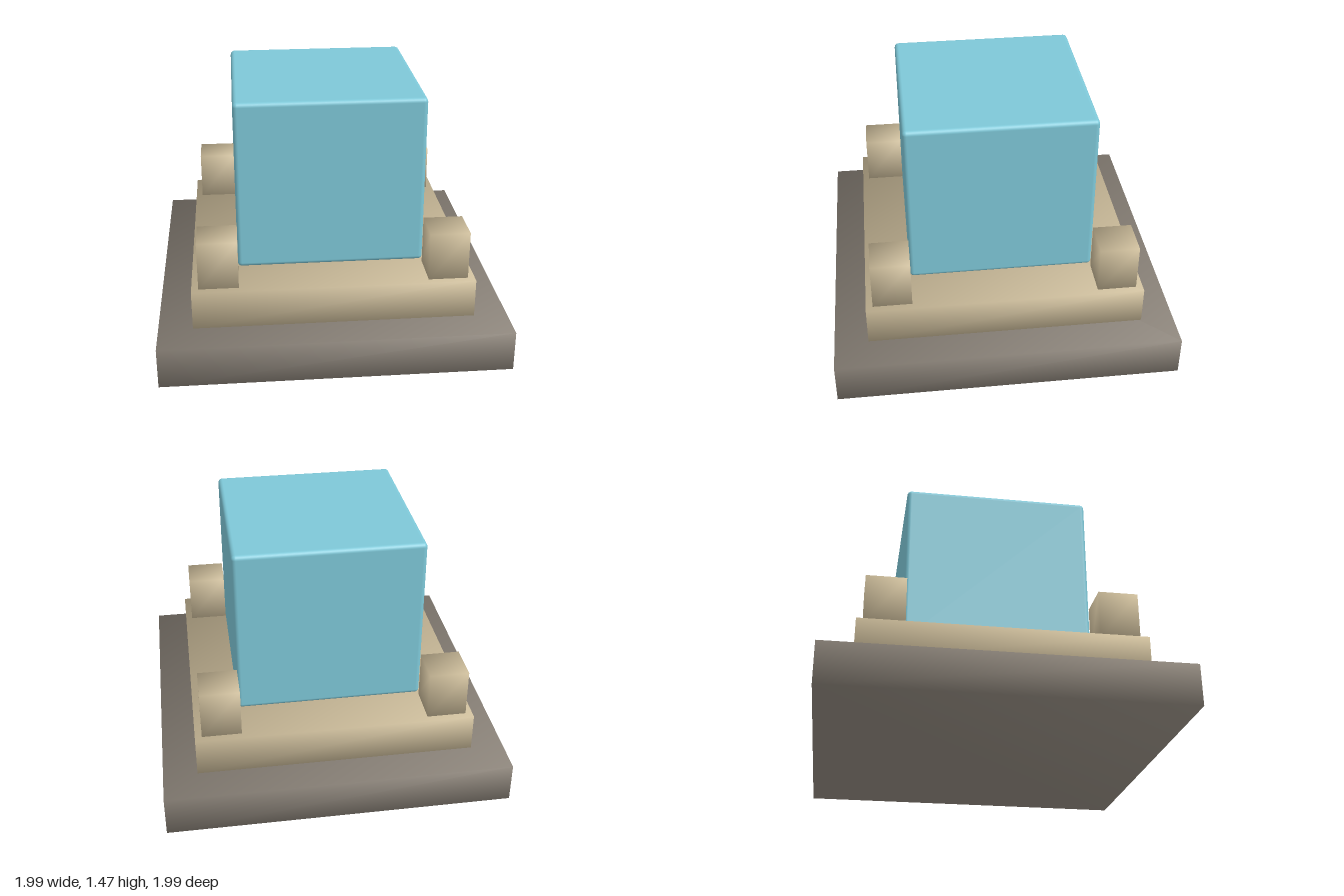
import * as THREE from 'three';
import { mergeVertices } from 'three/addons/utils/BufferGeometryUtils.js';
import { RoundedBoxGeometry } from 'three/addons/geometries/RoundedBoxGeometry.js';

// Box with eight shared corners, so shading flows softly around its edges
function softBox(w, h, d) {
  let geo = new THREE.BoxGeometry(w, h, d);
  geo.deleteAttribute('normal');
  geo.deleteAttribute('uv');
  geo = mergeVertices(geo);
  const pos = geo.attributes.position;
  const normals = [];
  for (let i = 0; i < pos.count; i++) {
    const n = new THREE.Vector3(
      Math.sign(pos.getX(i)), Math.sign(pos.getY(i)), Math.sign(pos.getZ(i))
    ).normalize();
    normals.push(n.x, n.y, n.z);
  }
  geo.setAttribute('normal', new THREE.Float32BufferAttribute(normals, 3));
  return geo;
}

export function createModel() {
  const model = new THREE.Group();
  model.name = 'cubeOnPedestal';

  const material = (name, color) => {
    const m = new THREE.MeshStandardMaterial({ color });
    m.name = name;
    return m;
  };
  const darkStone = material('dark stone', 0x8a8278);
  const sandStone = material('sand stone', 0xcdbd9b);
  const blue = material('light blue', 0x7ec8d8);

  const add = (name, geo, mat, x, y, z) => {
    const mesh = new THREE.Mesh(geo, mat);
    mesh.name = name;
    mesh.position.set(x, y, z);
    model.add(mesh);
  };

  // Stepped pedestal
  add('baseSlab', softBox(1.99, 0.236, 1.99), darkStone, 0, 0.118, 0);
  add('upperSlab', softBox(1.6, 0.225, 1.6), sandStone, 0, 0.358, 0);

  // Corner posts hugging the cube
  const postGeo = softBox(0.225, 0.285, 0.225);
  for (const x of [-1, 1]) {
    for (const z of [-1, 1]) {
      const name = (z > 0 ? 'front' : 'back') + (x > 0 ? 'Left' : 'Right') + 'Post';
      add(name, postGeo, sandStone, x * 0.648, 0.608, z * 0.648);
    }
  }

  // Cube with slightly rounded edges
  add('cube', new RoundedBoxGeometry(1.075, 0.99, 1.075, 3, 0.025), blue, 0, 0.976, 0);

  return model;
}
